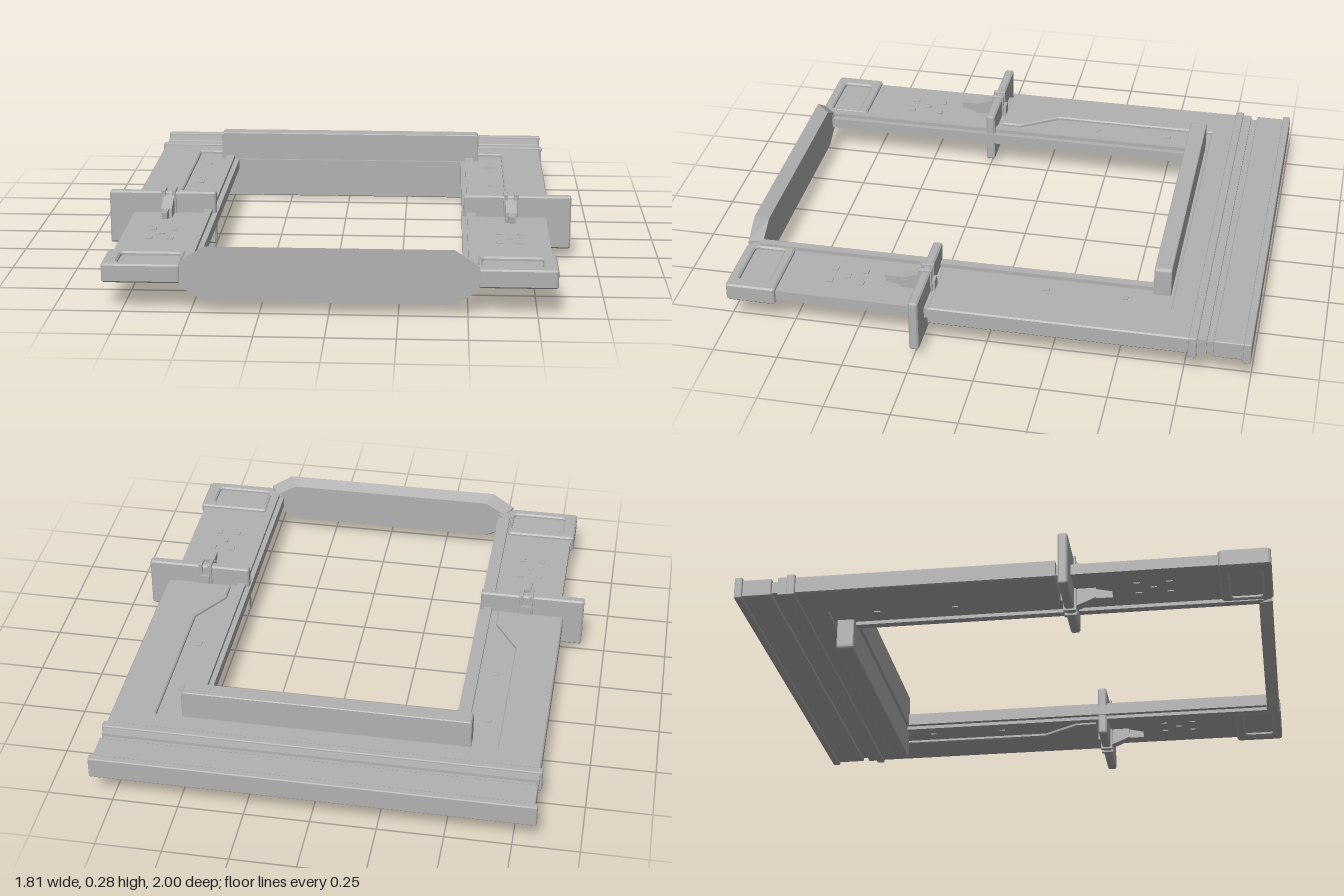
import * as THREE from 'three';
import { RoundedBoxGeometry } from 'three/addons/geometries/RoundedBoxGeometry.js';

const MID = 0.145; // height of the frame's mid plane

export function createModel() {
  const group = new THREE.Group();
  const grey = new THREE.MeshStandardMaterial({ color: 0xb2b2b2 });
  grey.name = 'plain grey';

  const add = (name, geometry) => {
    const mesh = new THREE.Mesh(geometry, grey);
    mesh.name = name;
    group.add(mesh);
    return mesh;
  };
  // box from its limits, optionally with rounded edges
  const box = (name, x0, x1, y0, y1, z0, z1, r = 0) => {
    const s = [x1 - x0, y1 - y0, z1 - z0];
    const g = r ? new RoundedBoxGeometry(...s, 2, r) : new THREE.BoxGeometry(...s);
    return add(name, g.translate((x0 + x1) / 2, (y0 + y1) / 2, (z0 + z1) / 2));
  };
  const toShape = pts => new THREE.Shape(pts.map(p => new THREE.Vector2(...p)));
  const extrude = (shape, depth, bevel) => new THREE.ExtrudeGeometry(shape, {
    depth: depth - 2 * bevel, bevelEnabled: bevel > 0, bevelSize: bevel,
    bevelThickness: bevel, bevelOffset: -bevel, bevelSegments: 1, curveSegments: 4,
  }).translate(0, 0, bevel - depth / 2);
  // slab with an outline in x and z, centred on the mid plane
  const slab = (name, shape, height, bevel = 0) =>
    add(name, extrude(shape, height, bevel).rotateX(Math.PI / 2).translate(0, MID, 0));
  const mirrorPath = pts => [...pts, ...pts.map(([x, z]) => [-x, z]).reverse()];
  const roundRect = (x0, x1, y0, y1, r, Type = THREE.Shape) => {
    const s = new Type();
    s.moveTo(x0 + r, y0).lineTo(x1 - r, y0).quadraticCurveTo(x1, y0, x1, y0 + r);
    s.lineTo(x1, y1 - r).quadraticCurveTo(x1, y1, x1 - r, y1);
    s.lineTo(x0 + r, y1).quadraticCurveTo(x0, y1, x0, y1 - r);
    s.lineTo(x0, y0 + r).quadraticCurveTo(x0, y0, x0 + r, y0);
    return s;
  };

  // outer U-shaped frame
  slab('outerFrame', toShape(mirrorPath([
    [0.825, -0.78], [0.825, 0.21], [0.56, 0.21], [0.56, 0.13], [0.655, -0.02], [0.655, -0.68],
  ])), 0.07, 0.005);

  // ribbed beam across the back
  box('beamFrontRib', -0.835, 0.835, 0.102, 0.188, -0.8, -0.768, 0.005);
  box('beamStep', -0.825, 0.825, 0.11, 0.18, -0.835, -0.8);
  box('beamGroove', -0.815, 0.815, 0.122, 0.168, -0.865, -0.835);
  box('beamBody', -0.825, 0.825, 0.11, 0.18, -0.975, -0.86, 0.005);
  box('beamBackRib', -0.835, 0.835, 0.102, 0.188, -1, -0.97, 0.005);

  // thinner inner frame with the sliding arms
  slab('innerFrame', toShape(mirrorPath([
    [0.7, -0.72], [0.7, 0.1], [0.808, 0.15], [0.808, 0.97], [0.48, 0.97], [0.48, -0.59],
  ])), 0.042);
  box('backRail', -0.53, 0.53, 0.113, 0.177, -0.64, -0.605);

  // upright bar across the back opening, with a small raised catch
  add('backBar', extrude(roundRect(-0.555, 0.555, 0.003, 0.282, 0.015), 0.066, 0.003)
    .translate(0, 0, -0.635));
  box('barCatch', 0.45, 0.52, 0.28, 0.284, -0.65, -0.62);

  // front bar: faceted shield shape, narrowing toward the inside
  const bar = extrude(toShape([
    [-0.45, 0.045], [0.45, 0.045], [0.54, 0.1], [0.54, 0.19], [0.45, 0.25],
    [-0.45, 0.25], [-0.54, 0.19], [-0.54, 0.1],
  ]), 0.05, 0);
  const p = bar.attributes.position;
  for (let i = 0; i < p.count; i++) {
    if (p.getZ(i) < 0) p.setXY(i, p.getX(i) * 0.94, MID + (p.getY(i) - MID) * 0.8);
  }
  bar.computeVertexNormals();
  add('frontBar', bar.translate(0, 0, 0.968));

  for (const s of [-1, 1]) {
    const side = s > 0 ? 'left' : 'right';
    const part = (name, x0, x1, ...rest) =>
      box(side + name, s > 0 ? x0 : -x1, s > 0 ? x1 : -x0, ...rest);

    // stepped rail along the opening
    part('Rail', 0.5, 0.532, 0.11, 0.182, -0.6, 0.96);
    part('RailEnd', 0.485, 0.55, 0.113, 0.18, 0.94, 0.99, 0.004);

    // corner block with a pocket above and below
    const [x0, x1] = s > 0 ? [0.535, 0.822] : [-0.822, -0.535];
    const [h0, h1] = s > 0 ? [0.55, 0.77] : [-0.77, -0.55];
    const block = roundRect(x0, x1, 0.805, 0.998, 0.015);
    block.holes.push(roundRect(h0, h1, 0.842, 0.96, 0.015, THREE.Path));
    slab(side + 'CornerBlock', block, 0.07, 0.006);

    // upright stop plate
    const [w0, w1] = s > 0 ? [0.485, 0.905] : [-0.905, -0.485];
    add(side + 'StopPlate', extrude(roundRect(w0, w1, 0.04, 0.25, 0.01), 0.036, 0.006)
      .translate(0, 0, 0.246));

    // clip prongs wrapping the stop plate
    for (const x of [0.65, 0.69]) {
      part('ClipProng', x - 0.008, x + 0.008, 0.032, 0.26, 0.222, 0.272, 0.003);
    }
    part('ClipBack', 0.65, 0.69, 0.08, 0.21, 0.212, 0.24);

    // sloping levers in front of the stop plate, above and below the arm
    for (const v of [-1, 1]) {
      const wedge = (name, width, pts) => {
        const g = extrude(toShape(v > 0 ? pts : pts.map(([z, y]) => [z, -y])), width, 0);
        add(side + name, g.rotateY(-Math.PI / 2).translate(s * 0.67, MID, 0));
      };
      wedge('LeverBase', 0.042, [[0.26, 0.015], [0.345, 0.015], [0.345, 0.06], [0.31, 0.075], [0.26, 0.095]]);
      wedge('LeverTip', 0.02, [[0.34, 0.02], [0.405, 0.035], [0.408, 0.06], [0.34, 0.06]]);

      // small square studs on the arm and on the inner frame
      const y = MID + v * 0.022;
      for (const [x, z] of [[0.62, 0.5], [0.7, 0.5], [0.66, 0.56], [0.62, 0.62], [0.7, 0.62], [0.6, -0.2], [0.6, -0.5]]) {
        part('Stud', x - 0.012, x + 0.012, y - 0.003, y + 0.003, z - 0.012, z + 0.012);
      }
    }
  }
  return group;
}
